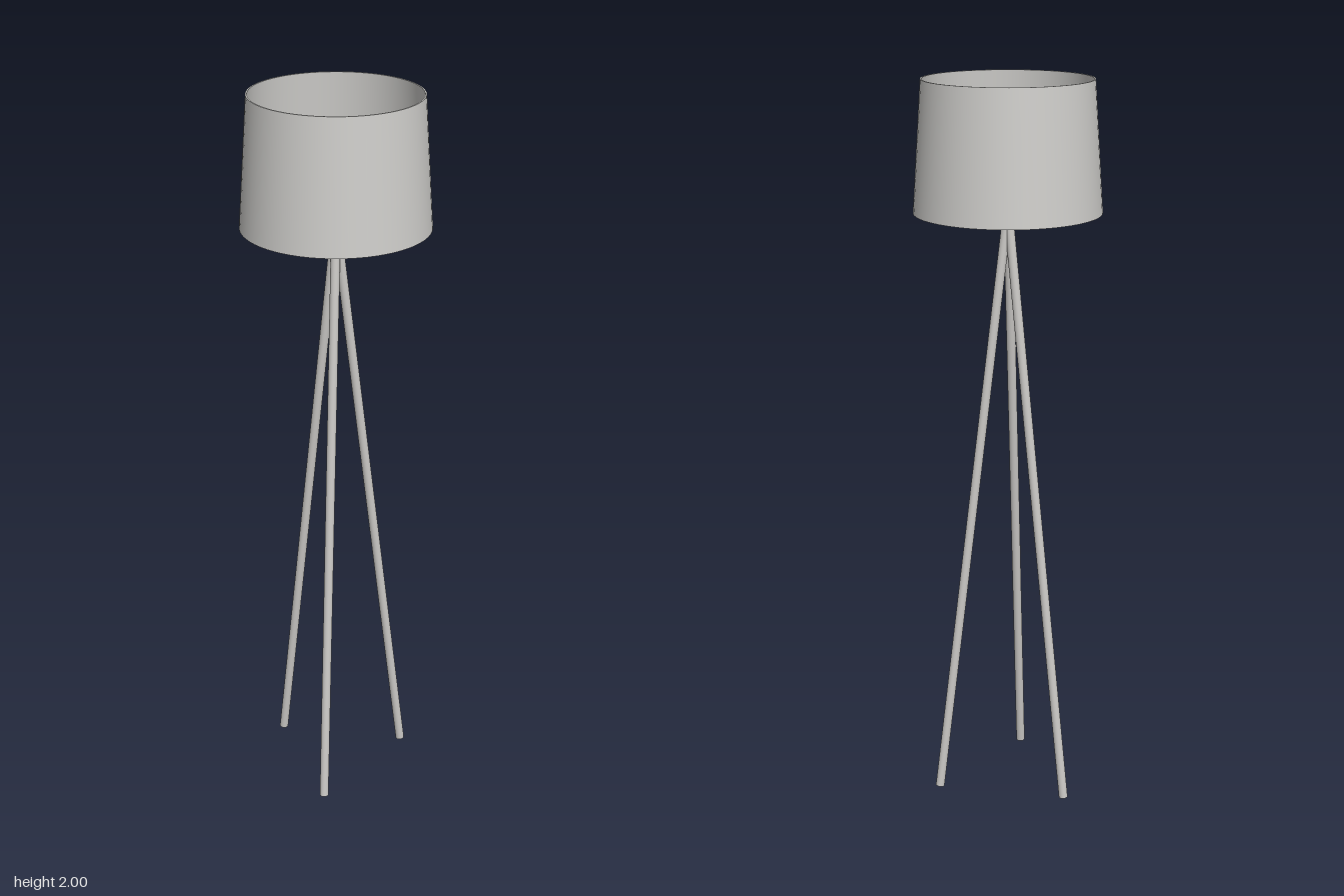
import * as THREE from 'three';

export function createModel() {
  const model = new THREE.Group();
  const material = (name, color) => {
    const m = new THREE.MeshStandardMaterial({ color });
    m.name = name;
    return m;
  };
  const shadeGrey = material('shade fabric', 0xcecdca);
  const legGrey = material('leg grey', 0xcac8c5);
  const brass = material('brass', 0xc49a4a);

  const add = (name, geometry, mat, parent = model) => {
    const mesh = new THREE.Mesh(geometry, mat);
    mesh.name = name;
    parent.add(mesh);
    return mesh;
  };

  // Tapered open drum shade: outer wall, inner wall and two thin rims
  const bottomY = 1.658, topY = 2, bottomR = 0.248, topR = 0.224, wall = 0.004;
  const shade = new THREE.Group();
  shade.name = 'lampShade';
  model.add(shade);
  const band = (name, r0, y0, r1, y1) => add(name, new THREE.LatheGeometry(
    [new THREE.Vector2(r0, y0), new THREE.Vector2(r1, y1)], 64), shadeGrey, shade);
  band('shadeOuterWall', bottomR, bottomY, topR, topY);
  band('shadeTopRim', topR, topY, topR - wall, topY);
  band('shadeInnerWall', topR - wall, topY, bottomR - wall, bottomY);
  band('shadeBottomRim', bottomR - wall, bottomY, bottomR, bottomY);

  // Three straight round legs meeting under the shade
  const legR = 0.0125, spread = 0.208;
  const up = new THREE.Vector3(0, 1, 0);
  const apex = new THREE.Vector3(0, 1.665, 0);
  for (let i = 0; i < 3; i++) {
    const a = (i * Math.PI * 2) / 3;
    const foot = new THREE.Vector3(Math.sin(a) * spread, 0.0015, Math.cos(a) * spread);
    const axis = apex.clone().sub(foot);
    const leg = add('leg' + (i + 1), new THREE.CylinderGeometry(legR, legR, axis.length(), 20), legGrey);
    leg.position.copy(foot).addScaledVector(axis, 0.5);
    leg.quaternion.setFromUnitVectors(up, axis.normalize());
  }

  // Brass stem rising from the joint inside the shade
  const stem = add('stem', new THREE.CylinderGeometry(0.0095, 0.0095, 0.12, 24), brass);
  stem.position.y = 1.703;

  return model;
}
